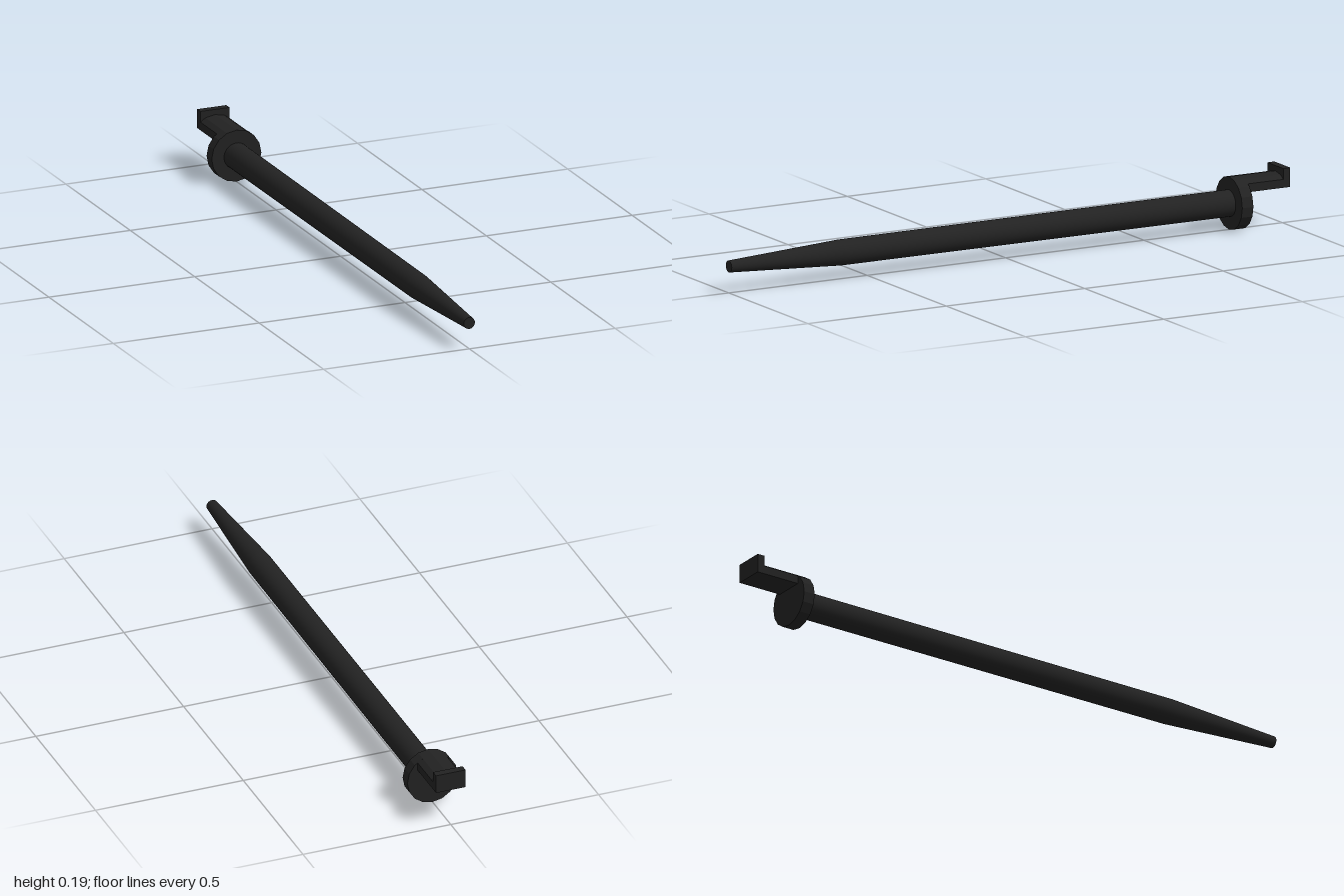
import * as THREE from 'three';

const AXIS_Y = 0.085;
const black = new THREE.MeshStandardMaterial({ color: 0x222222 });
black.name = 'matte black';

export function createModel() {
  const group = new THREE.Group();
  group.name = 'taperedPin';

  const add = (name, geometry, x, y, z) => {
    const mesh = new THREE.Mesh(geometry, black);
    mesh.name = name;
    mesh.position.set(x, y, z);
    group.add(mesh);
  };

  // Round section along z, from zBack to zFront
  const rod = (name, rBack, rFront, zBack, zFront) => {
    const g = new THREE.CylinderGeometry(rFront, rBack, zFront - zBack, 32);
    g.rotateX(Math.PI / 2);
    add(name, g, 0, AXIS_Y, (zBack + zFront) / 2);
  };

  // Flat-faced section extruded towards +z
  const extrude = (name, points, zBack, depth) => {
    const shape = new THREE.Shape(points.map(([x, y]) => new THREE.Vector2(x, y)));
    add(name, new THREE.ExtrudeGeometry(shape, { depth, bevelEnabled: false }), 0, AXIS_Y, zBack);
  };

  // Shaft and pointed end
  rod('shaft', 0.043, 0.041, -0.81, 0.6);
  rod('taperedTip', 0.041, 0.019, 0.6, 1);

  // Sixteen-sided collar
  const collar = [];
  for (let i = 0; i < 16; i++) {
    const a = (i / 16) * Math.PI * 2;
    collar.push([0.085 * Math.cos(a), 0.085 * Math.sin(a)]);
  }
  extrude('collar', collar, -0.847, 0.04);

  // Tongue that continues the top of the collar, and its upturned lip
  extrude('tongue', [
    [-0.05, 0.04], [0.05, 0.04], [0.05, 0.067], [0.0325, 0.0785],
    [0, 0.085], [-0.0325, 0.0785], [-0.05, 0.067],
  ], -0.98, 0.135);
  add('lip', new THREE.BoxGeometry(0.1, 0.062, 0.025), 0, 0.156, -0.9875);

  return group;
}
